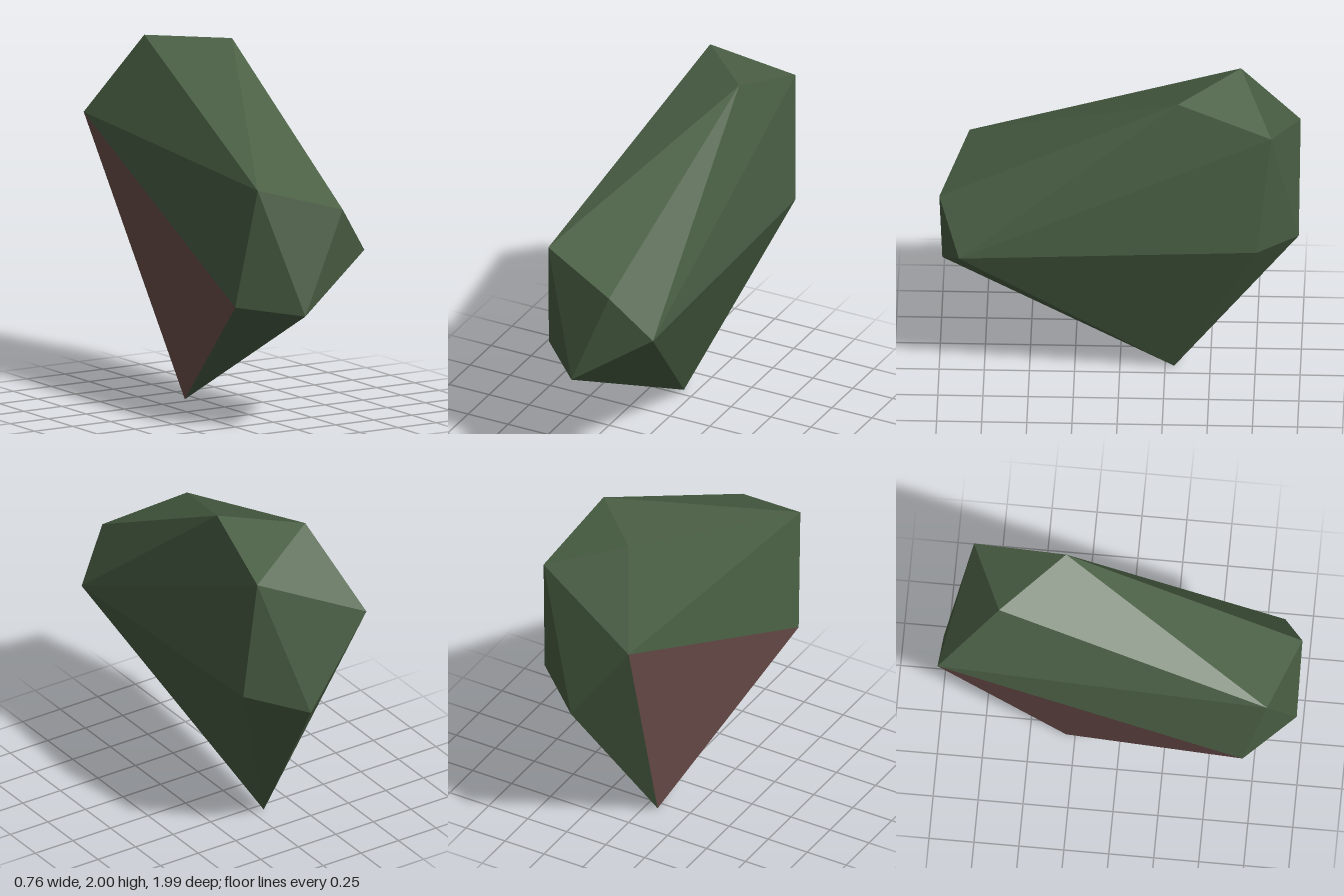
import * as THREE from 'three';

// Corners of the faceted boulder
const P = {
  A: [-0.10, 2.00, -0.67], B: [0.26, 2.00, -0.33], C: [0.34, 1.83, -0.85],
  D: [0.38, 1.09, -0.77], E: [0.355, 1.00, 0.88], F: [0.14, 1.27, 0.995],
  G: [-0.32, 1.40, 0.84], H: [-0.385, 0.725, 0.71], I: [-0.10, 0.69, 0.985],
  J: [-0.07, 0.00, -0.30], K: [-0.29, 1.53, -0.995], L: [0.08, 1.00, -0.995],
};

// Flat triangles between named corners, each turned to face outwards
function facets(list) {
  const centre = new THREE.Vector3(0, 1.1, 0);
  const points = [];
  for (const face of list.split(' ')) {
    const [a, b, c] = [...face].map((k) => new THREE.Vector3(...P[k]));
    const normal = b.clone().sub(a).cross(c.clone().sub(a));
    const outward = normal.dot(a.clone().sub(centre)) > 0;
    points.push(...(outward ? [a, b, c] : [a, c, b]));
  }
  const geometry = new THREE.BufferGeometry().setFromPoints(points);
  geometry.computeVertexNormals();
  return geometry;
}

export function createModel() {
  const moss = new THREE.MeshStandardMaterial({ name: 'moss green', color: 0x4a5f44, flatShading: true });
  const earth = new THREE.MeshStandardMaterial({ name: 'earth brown', color: 0x6e504c, flatShading: true });

  const group = new THREE.Group();
  group.name = 'boulder';

  // Mossy faces: top, front, right side, back, left side
  const body = new THREE.Mesh(
    facets('ABC ABG GBF GFI GIH FEI IEJ HIJ BFE BEC CED EDJ DLJ LKJ CKL CLD ACK AKG GKH'),
    moss,
  );
  body.name = 'mossyStone';

  // Bare lower face on the -x side
  const bare = new THREE.Mesh(facets('KHJ'), earth);
  bare.name = 'bareFace';

  group.add(body, bare);
  return group;
}
